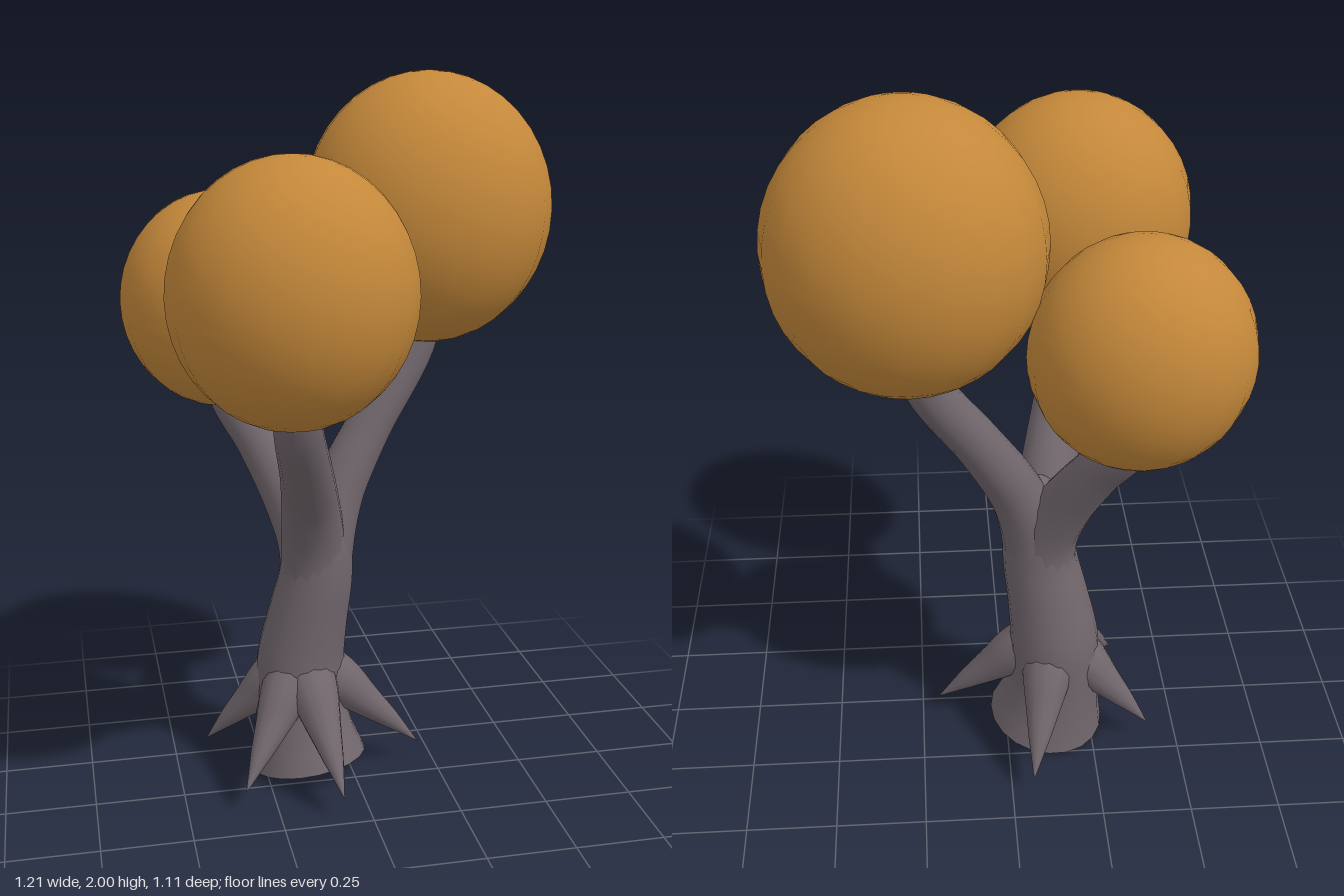
import * as THREE from 'three';
import { mergeVertices } from 'three/addons/utils/BufferGeometryUtils.js';

const bark = new THREE.MeshStandardMaterial({ name: 'bark', color: 0x70666c });
const foliage = new THREE.MeshStandardMaterial({ name: 'foliage', color: 0xc4883a });

// Smooth tube through [x, y, z, radius] points
function taperedTube(name, points, steps, sides) {
  const curve = new THREE.CatmullRomCurve3(points.map(([x, y, z]) => new THREE.Vector3(x, y, z)));
  const geo = new THREE.TubeGeometry(curve, steps, 1, sides);
  const pos = geo.attributes.position;
  const v = new THREE.Vector3();
  for (let i = 0; i <= steps; i++) {
    const centre = curve.getPointAt(i / steps);
    const t = curve.getUtoTmapping(i / steps) * (points.length - 1);
    const k = Math.min(Math.floor(t), points.length - 2);
    const r = THREE.MathUtils.lerp(points[k][3], points[k + 1][3], t - k);
    for (let j = 0; j <= sides; j++) {
      const n = i * (sides + 1) + j;
      v.fromBufferAttribute(pos, n).sub(centre).multiplyScalar(r).add(centre);
      pos.setXYZ(n, v.x, v.y, v.z);
    }
  }
  geo.deleteAttribute('uv');
  geo.deleteAttribute('normal');
  const welded = mergeVertices(geo, 1e-5);
  welded.computeVertexNormals();
  const mesh = new THREE.Mesh(welded, bark);
  mesh.name = name;
  mesh.userData.startTangent = curve.getTangentAt(0);
  return mesh;
}

export function createModel() {
  const tree = new THREE.Group();
  tree.name = 'tree';

  // Trunk with a flared, slightly tilted foot; its top closes inside the fork
  const foot = [-0.12, 0.03, -0.1, 0.168];
  const trunk = taperedTube('trunk', [
    foot, [-0.131, 0.11, -0.111, 0.146], [-0.14, 0.2, -0.12, 0.13],
    [-0.138, 0.34, -0.122, 0.128], [-0.118, 0.48, -0.108, 0.115],
    [-0.097, 0.6, -0.096, 0.106], [-0.092, 0.72, -0.095, 0.1],
    [-0.092, 0.84, -0.1, 0.06], [-0.092, 0.89, -0.1, 0.002],
  ], 32, 20);
  tree.add(trunk);

  // Underside of the foot
  const sole = new THREE.Mesh(new THREE.CircleGeometry(foot[3], 20), bark);
  sole.name = 'trunkSole';
  sole.position.set(foot[0], foot[1], foot[2]);
  sole.quaternion.setFromUnitVectors(new THREE.Vector3(0, 0, 1),
    trunk.userData.startTangent.clone().negate());
  tree.add(sole);

  // Three branches fanning out of the trunk
  const branches = {
    leftBranch: [[-0.095, 0.56, -0.095, 0.1], [-0.078, 0.7, -0.098, 0.094],
      [-0.025, 0.85, -0.12, 0.076], [0.07, 1.02, -0.155, 0.066],
      [0.215, 1.25, -0.2, 0.06], [0.25, 1.4, -0.21, 0.055]],
    frontBranch: [[-0.097, 0.56, -0.095, 0.1], [-0.105, 0.7, -0.078, 0.094],
      [-0.125, 0.84, -0.01, 0.082], [-0.155, 0.97, 0.1, 0.072],
      [-0.2, 1.14, 0.235, 0.064], [-0.215, 1.3, 0.28, 0.06]],
    backBranch: [[-0.098, 0.56, -0.097, 0.1], [-0.11, 0.7, -0.11, 0.092],
      [-0.165, 0.84, -0.16, 0.076], [-0.235, 0.98, -0.225, 0.066],
      [-0.31, 1.11, -0.29, 0.06], [-0.325, 1.25, -0.3, 0.055]],
  };
  for (const [name, pts] of Object.entries(branches)) tree.add(taperedTube(name, pts, 24, 16));

  // Pointed roots, given by the position of each tip
  const hub = [-0.135, -0.118];
  const tips = [[0.2, -0.06], [-0.08, 0.23], [-0.34, 0.14], [-0.41, -0.21], [-0.06, -0.42]];
  tips.forEach(([tx, tz], i) => {
    const at = (f, y, r) => [hub[0] + (tx - hub[0]) * f, y, hub[1] + (tz - hub[1]) * f, r];
    tree.add(taperedTube('root' + (i + 1), [
      at(0.08, 0.32, 0.085), at(0.32, 0.268, 0.072), at(0.52, 0.208, 0.052),
      at(0.75, 0.142, 0.03), at(1, 0.065, 0.001),
    ], 14, 12));
  });

  // Rounded crowns: centre and radii
  const crowns = {
    leftCrown: [[0.25, 1.625, -0.21], [0.35, 0.375, 0.305]],
    frontCrown: [[-0.215, 1.485, 0.277], [0.316, 0.341, 0.28]],
    backCrown: [[-0.32, 1.375, -0.305], [0.285, 0.305, 0.252]],
  };
  const ball = new THREE.SphereGeometry(1, 20, 20);
  for (const [name, [centre, radii]] of Object.entries(crowns)) {
    const crown = new THREE.Mesh(ball, foliage);
    crown.name = name;
    crown.position.set(...centre);
    crown.scale.set(...radii);
    tree.add(crown);
  }
  return tree;
}
